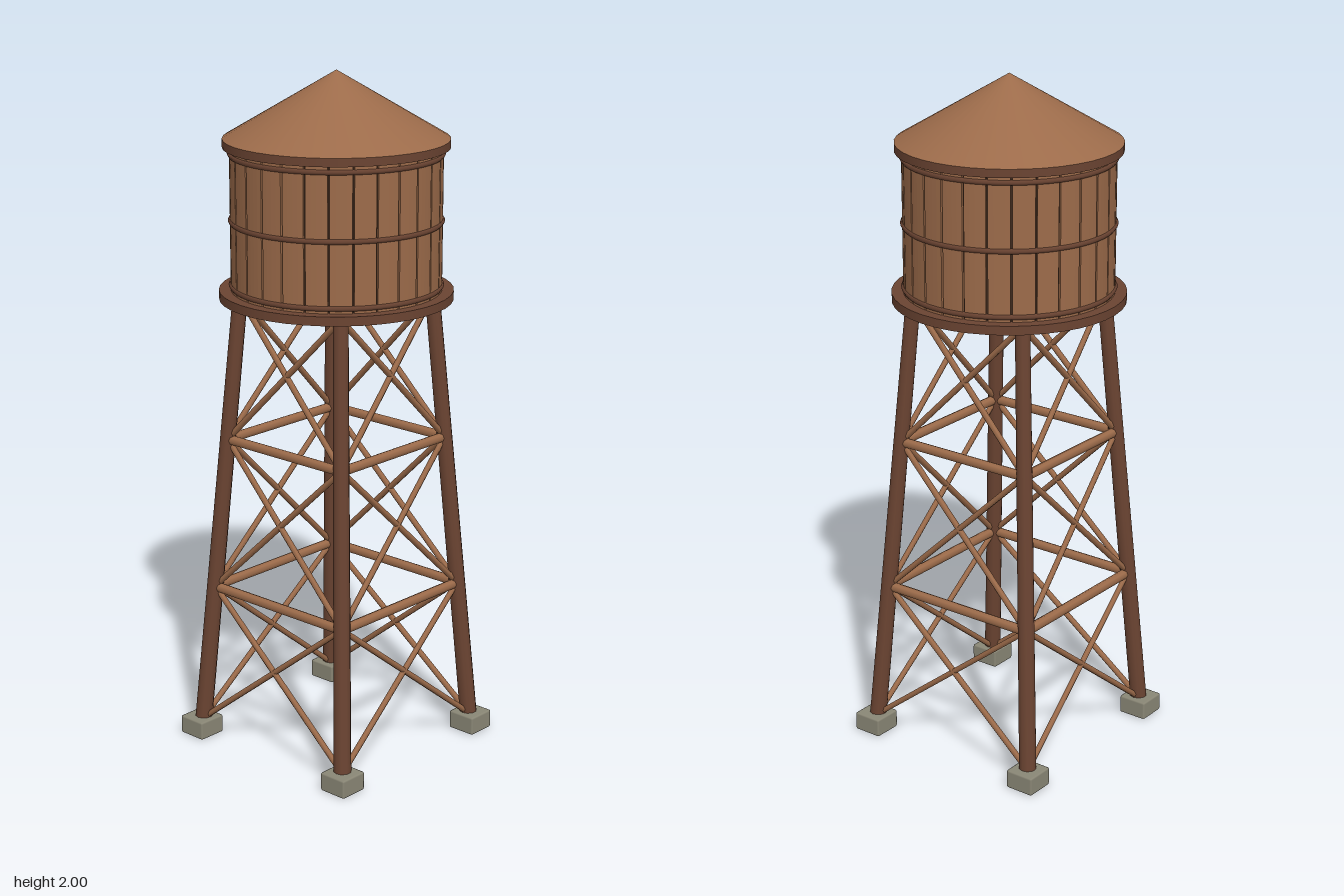
import * as THREE from 'three';
import { RoundedBoxGeometry } from 'three/addons/geometries/RoundedBoxGeometry.js';

const mat = (name, color) => {
  const m = new THREE.MeshStandardMaterial({ color });
  m.name = name;
  return m;
};

export function createModel() {
  const wood = mat('wood', 0x9c6b4a);
  const darkWood = mat('darkWood', 0x6b4432);
  const gapBrown = mat('gapBrown', 0x3c281c);
  const concrete = mat('concrete', 0x8a8776);

  const model = new THREE.Group();
  model.name = 'waterTower';

  const add = (parent, name, geometry, material, x = 0, y = 0, z = 0) => {
    const mesh = new THREE.Mesh(geometry, material);
    mesh.name = name;
    mesh.position.set(x, y, z);
    parent.add(mesh);
    return mesh;
  };

  // Round timber between two points
  const up = new THREE.Vector3(0, 1, 0);
  const pole = (parent, name, a, b, rBottom, rTop, sides, material) => {
    const dir = b.clone().sub(a);
    const geo = new THREE.CylinderGeometry(rTop, rBottom, dir.length(), sides);
    const mesh = add(parent, name, geo, material);
    mesh.position.copy(a).add(b).multiplyScalar(0.5);
    mesh.quaternion.setFromUnitVectors(up, dir.normalize());
  };

  // Distance of the leg axis from the centre planes at height y
  const spread = (y) => 0.283 - (y - 0.05) * 0.068;
  const corner = (sx, sz, y) => new THREE.Vector3(sx * spread(y), y, sz * spread(y));

  // Legs and footings
  for (const sx of [-1, 1]) {
    for (const sz of [-1, 1]) {
      add(model, 'footing', new RoundedBoxGeometry(0.09, 0.056, 0.09, 1, 0.006),
        concrete, sx * 0.287, 0.03, sz * 0.287);
      pole(model, 'leg', corner(sx, sz, 0.03), corner(sx, sz, 1.36), 0.026, 0.022, 10, darkWood);
    }
  }

  // Horizontal beams and cross braces, repeated on four sides
  const levels = [0.05, 0.474, 0.93, 1.355];
  for (let side = 0; side < 4; side++) {
    const frame = new THREE.Group();
    frame.name = 'sideFrame';
    frame.rotation.y = side * Math.PI / 2;
    model.add(frame);
    for (const y of [levels[1], levels[2]]) {
      pole(frame, 'beam', corner(-1, 1, y), corner(1, 1, y), 0.0145, 0.0145, 8, wood);
    }
    for (let i = 0; i < 3; i++) {
      for (const s of [-1, 1]) {
        pole(frame, 'crossBrace', corner(-s, 1, levels[i]), corner(s, 1, levels[i + 1]),
          0.009, 0.009, 6, wood);
      }
    }
  }

  // Platform
  add(model, 'platform', new THREE.CylinderGeometry(0.335, 0.335, 0.026, 40), darkWood, 0, 1.365, 0);

  // Tank: dark core wrapped in separate staves
  add(model, 'tankCore', new THREE.CylinderGeometry(0.292, 0.292, 0.41, 56), gapBrown, 0, 1.583, 0);
  const staves = 28;
  const step = (Math.PI * 2) / staves;
  const half = step * 0.46;
  const arc = new THREE.Shape();
  arc.absarc(0, 0, 0.301, -half, half, false);
  arc.absarc(0, 0, 0.285, half, -half, true);
  const staveGeo = new THREE.ExtrudeGeometry(arc, { depth: 0.41, bevelEnabled: false, curveSegments: 2 });
  staveGeo.rotateX(-Math.PI / 2);
  for (let i = 0; i < staves; i++) {
    add(model, 'stave', staveGeo, wood, 0, 1.378, 0).rotation.y = (i + 0.5) * step;
  }

  // Hoops
  for (const y of [1.392, 1.578, 1.768]) {
    add(model, 'hoop', new THREE.TorusGeometry(0.299, 0.008, 6, 56).rotateX(Math.PI / 2), darkWood, 0, y, 0);
  }

  // Roof cone with an eave rim
  add(model, 'eaveRim', new THREE.CylinderGeometry(0.321, 0.321, 0.024, 40), darkWood, 0, 1.798, 0);
  add(model, 'roof', new THREE.ConeGeometry(0.321, 0.19, 40), wood, 0, 1.905, 0);

  return model;
}
